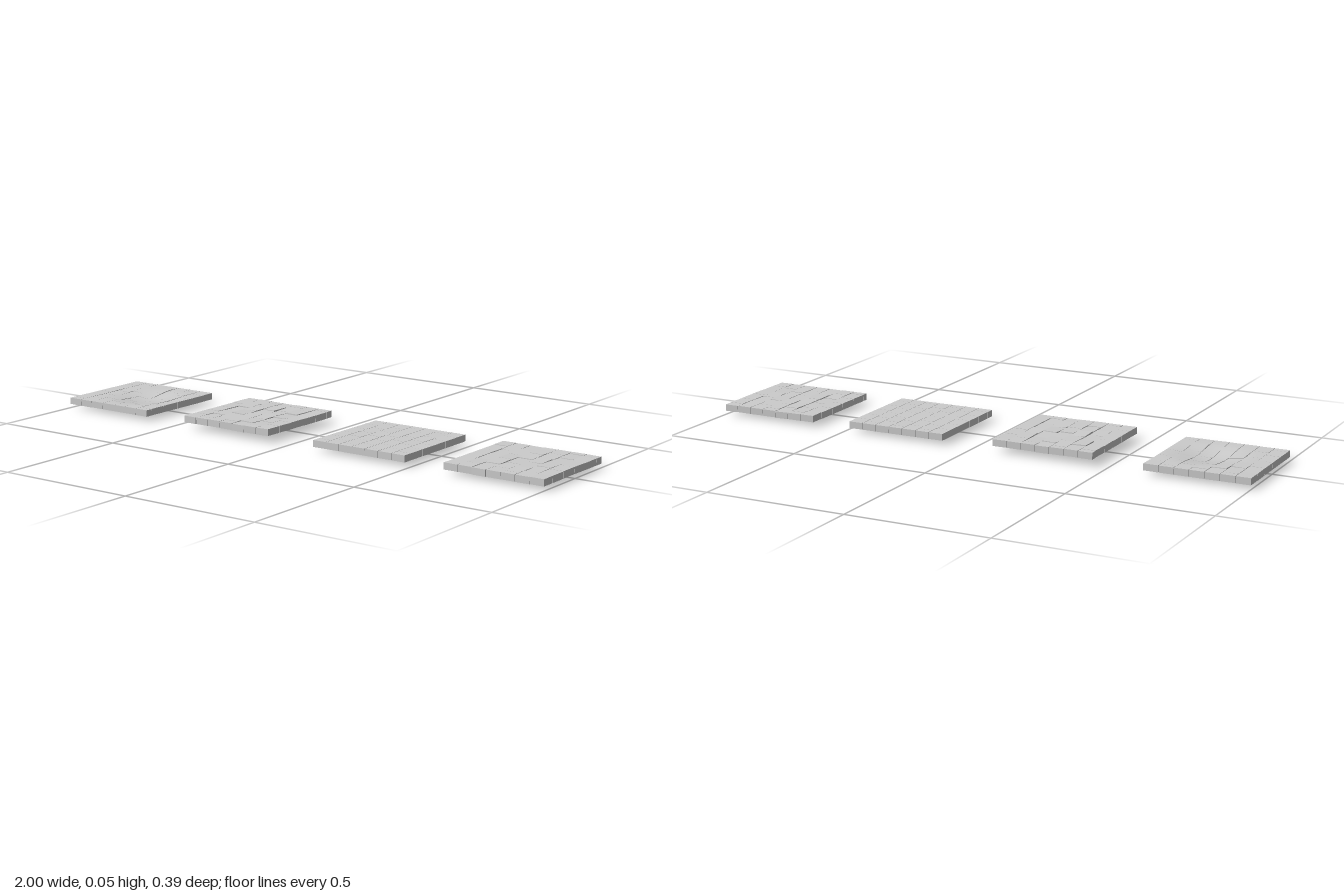
import * as THREE from 'three';

const COLUMNS = 7, SIZE = 0.368, GAP = 0.0014, THICK = 0.0235;

// x and z of the slab centre, underside height, sag depth, block looseness
// and the first brick length of each column (as a fraction of a full brick)
const SLABS = [
  { name: 'sunkenSlab', x: -0.816, z: -0.011, y: 0.0155, sag: 0.0145, loose: 0.5, sx: 0.035, first: [0.85, 0.4, 0.9, 0.45, 0.95, 0.35, 0.8] },
  { name: 'raisedSlab', x: -0.263, z: 0.002, y: 0.0235, sag: 0, loose: 1, sx: 0, first: [0.4, 0.9, 0.35, 0.8, 0.45, 0.9, 0.4] },
  { name: 'flatSlab', x: 0.298, z: 0.008, y: 0.0155, sag: 0, loose: 0.12, sx: 0, first: [0.9, 0.4, 0.85, 0.4, 0.95, 0.45, 0.8] },
  { name: 'unevenSlab', x: 0.816, z: 0.011, y: 0.0155, sag: 0, loose: 0.85, sx: 0, first: [0.85, 0.4, 0.95, 0.45, 0.85, 0.35, 0.5] },
];

function seeded(seed) {
  let s = seed;
  return () => (s = (s * 16807) % 2147483647) / 2147483647;
}

// One stone, subdivided so that it can follow the sag
function makeStone(w, d, cx, cz, slab, rand, material) {
  const n = slab.sag ? 4 : 1;
  const geo = new THREE.BoxGeometry(w - GAP, THICK, d - GAP, n, 1, n);
  const inner = Math.max(0, 1 - Math.max(Math.abs(cx), Math.abs(cz)) / (SIZE / 2));
  const amount = slab.loose * Math.min(1, inner * 2.5);
  const shift = () => (rand() - 0.5) * amount;
  geo.rotateY(shift() * 0.09);
  geo.rotateX(shift() * 0.07);
  geo.rotateZ(shift() * 0.07);
  geo.translate(cx + shift() * 0.002, THICK / 2 + shift() * 0.004, cz + shift() * 0.002);
  const p = geo.attributes.position;
  for (let i = 0; i < p.count && slab.sag; i++) {
    const r = Math.min(1, Math.hypot(p.getX(i) - slab.sx, p.getZ(i) - 0.011) / 0.155);
    p.setY(i, p.getY(i) - slab.sag * 0.5 * (1 + Math.cos(Math.PI * r)));
  }
  geo.computeVertexNormals();
  const stone = new THREE.Mesh(geo, material);
  stone.name = 'stone';
  return stone;
}

function makeSlab(slab, index, material) {
  const group = new THREE.Group();
  group.name = slab.name;
  const rand = seeded(7919 * (index + 3));
  const w = SIZE / COLUMNS, brick = 0.07;
  slab.first.forEach((fraction, c) => {
    const cx = -SIZE / 2 + w * (c + 0.5);
    // Brick seams along this column, from back to front
    const seams = [-SIZE / 2];
    let z = -SIZE / 2 + brick * fraction;
    while (z < SIZE / 2 - 0.02) {
      seams.push(z);
      z += brick * (0.94 + rand() * 0.12);
    }
    seams.push(SIZE / 2);
    for (let i = 1; i < seams.length; i++) {
      const d = seams[i] - seams[i - 1];
      group.add(makeStone(w, d, cx, (seams[i] + seams[i - 1]) / 2, slab, rand, material));
    }
  });
  group.position.set(slab.x, slab.y, slab.z);
  return group;
}

export function createModel() {
  const model = new THREE.Group();
  model.name = 'floorSlabs';
  const material = new THREE.MeshStandardMaterial({ color: 0xcccccc, flatShading: true });
  SLABS.forEach((slab, i) => model.add(makeSlab(slab, i, material)));
  return model;
}
